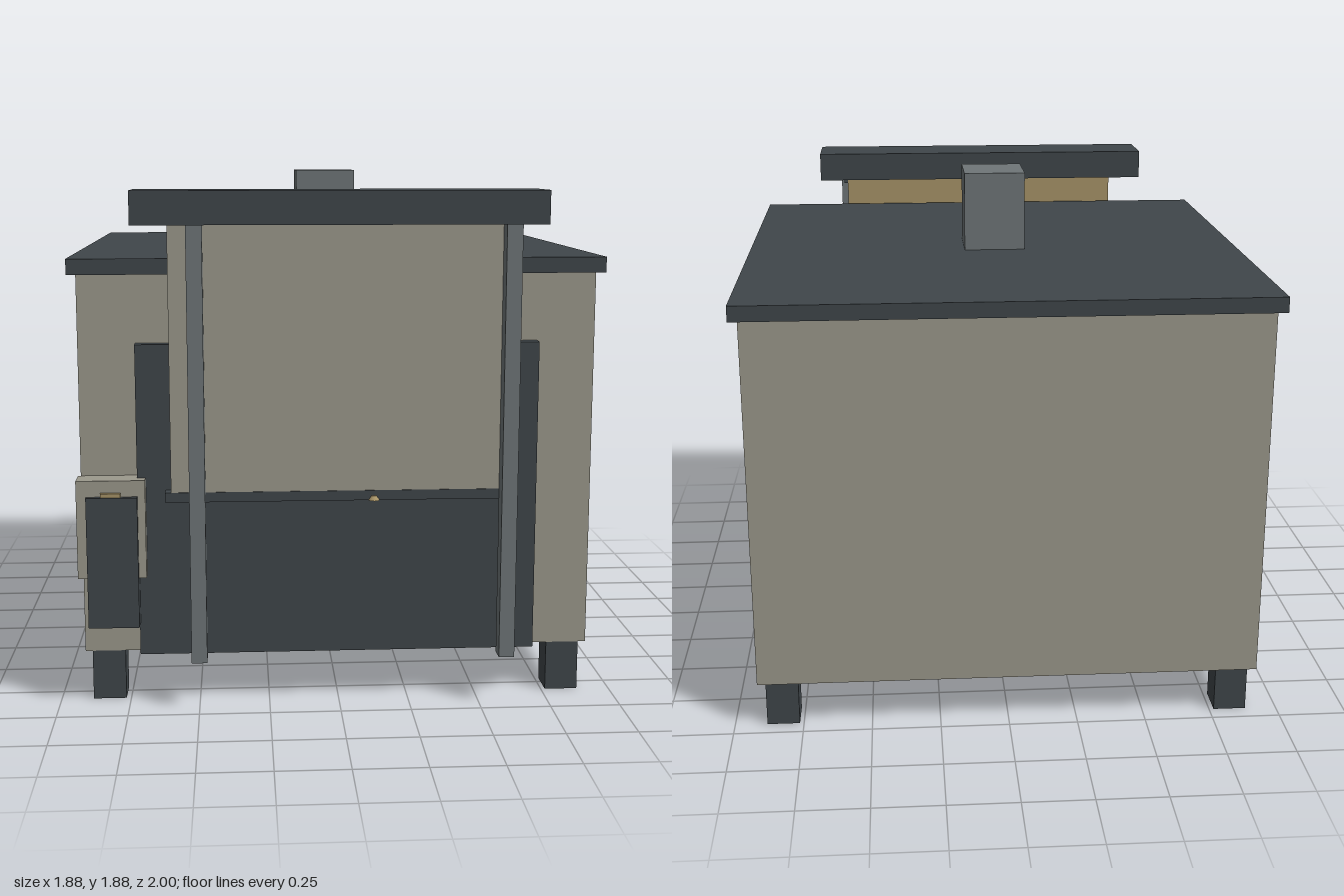
import * as THREE from 'three';

const mat = (name, color) => {
  const m = new THREE.MeshStandardMaterial({ color });
  m.name = name;
  return m;
};

export function createModel() {
  const model = new THREE.Group();
  model.name = 'hut';
  const beige = mat('beige', 0x9c998c);
  const dark = mat('dark slate', 0x40464a);
  const grey = mat('steel grey', 0x6f7678);
  const tan = mat('tan', 0xa89468);

  // Box given by its limits along each axis
  const box = (name, material, [x0, x1], [y0, y1], [z0, z1]) => {
    const mesh = new THREE.Mesh(new THREE.BoxGeometry(x1 - x0, y1 - y0, z1 - z0), material);
    mesh.position.set((x0 + x1) / 2, (y0 + y1) / 2, (z0 + z1) / 2);
    mesh.name = name;
    model.add(mesh);
    return mesh;
  };

  // Main body, roof and chimney
  box('body', beige, [-0.91, 0.91], [0.18, 1.535], [-0.975, 0.825]);
  box('roof', dark, [-0.94, 0.94], [1.535, 1.59], [-1, 0.85]);
  box('chimney', grey, [-0.115, 0.115], [1.59, 1.885], [-0.175, 0.055]);

  // Feet
  for (const x of [-0.885, 0.765])
    for (const z of [-0.94, 0.71]) box('foot', dark, [x, x + 0.118], [0, 0.18], [z, z + 0.115]);

  // Door surround and raised shutter with a painted front
  box('doorSurround', dark, [-0.71, 0.705], [0.18, 1.295], [0.825, 0.872]);
  box('shutter', tan, [-0.59, 0.59], [0.78, 1.71], [0.872, 0.911]);
  box('shutterFace', beige, [-0.59, 0.59], [0.78, 1.71], [0.911, 0.916]);
  box('bottomRail', dark, [-0.61, 0.61], [0.745, 0.78], [0.872, 0.918]);
  box('shutterPin', dark, [0.59, 0.605], [1.68, 1.71], [0.873, 0.905]);

  // Small latch on the bottom rail
  const latch = new THREE.Mesh(new THREE.CylinderGeometry(0.008, 0.02, 0.016, 8), tan);
  latch.position.set(0.12, 0.753, 0.918);
  latch.name = 'latch';
  model.add(latch);

  // Guide posts and header
  for (const x of [-0.525, 0.563]) box('guidePost', grey, [x, x + 0.055], [0.18, 1.71], [0.916, 0.98]);
  box('header', dark, [-0.71, 0.705], [1.71, 1.825], [0.765, 1]);

  // Side cabinet with hanging cover and handle
  box('cabinet', beige, [-0.92, -0.68], [0.475, 0.825], [0.825, 0.916]);
  box('cabinetCover', dark, [-0.885, -0.707], [0.3, 0.768], [0.83, 0.937]);
  box('cabinetHandle', tan, [-0.835, -0.765], [0.765, 0.782], [0.912, 0.93]);

  return model;
}
